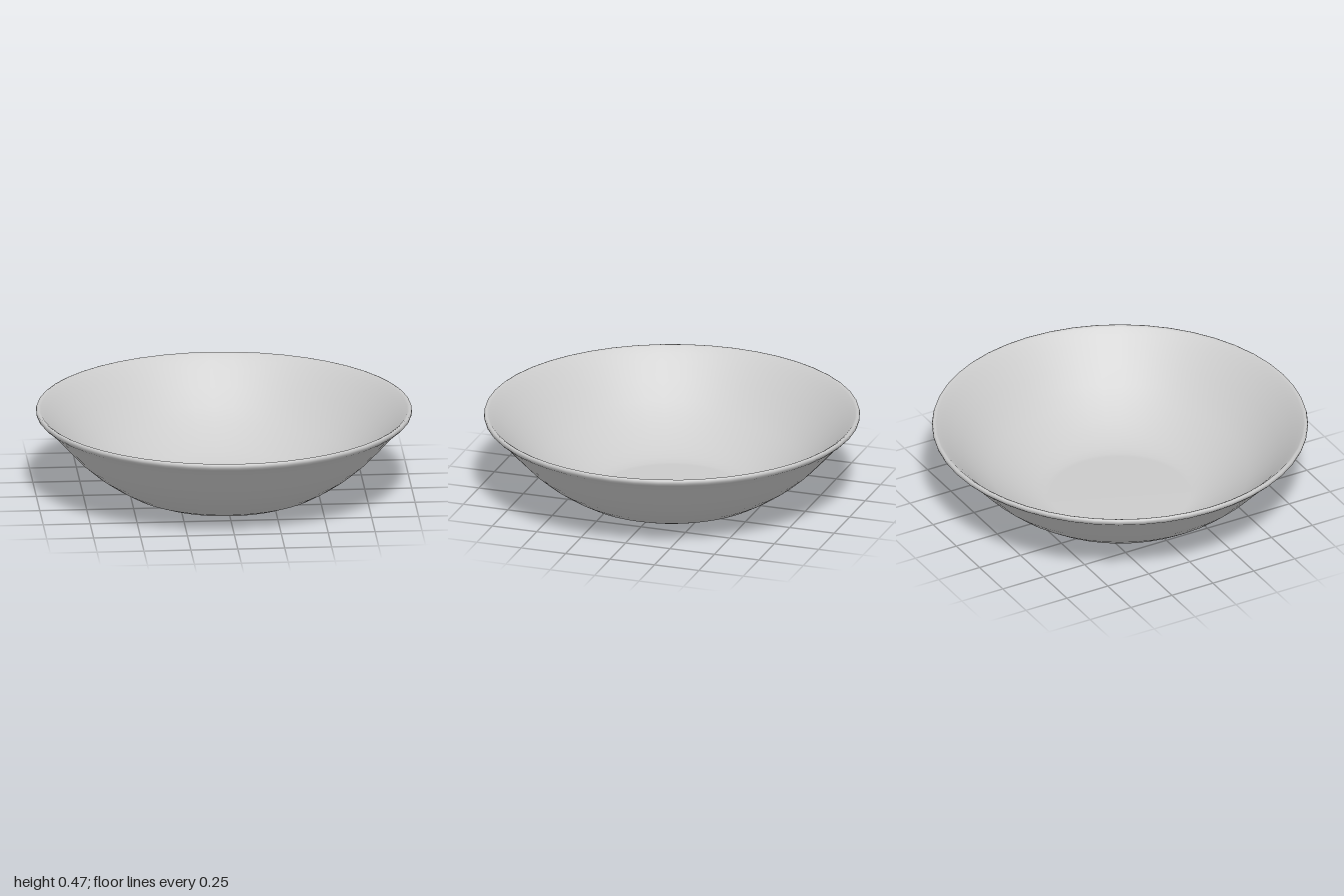
import * as THREE from 'three';

export function createModel() {
  const group = new THREE.Group();
  group.name = 'bowl';
  const material = new THREE.MeshStandardMaterial({ color: 0xcccccc, side: THREE.DoubleSide });

  // Wall profile as [radius, height], from the foot up to below the lip
  const wall = [
    [0.41, 0], [0.46, 0.012], [0.53, 0.04], [0.61, 0.087], [0.7, 0.15],
    [0.78, 0.22], [0.86, 0.305], [0.93, 0.383], [0.965, 0.418],
  ];
  // Rounded lip, from the underside over to the inside
  const lip = [[0.985, 0.432], [0.997, 0.445], [1, 0.457], [0.997, 0.467], [0.988, 0.47], [0.975, 0.463]];
  // Inside face: the wall moved inwards by its thickness
  const thickness = 0.024;
  const inside = wall.map(([r, y], i) => {
    const a = wall[Math.max(i - 1, 0)], b = wall[Math.min(i + 1, wall.length - 1)];
    const dr = b[0] - a[0], dy = b[1] - a[1], len = Math.hypot(dr, dy);
    return [r - (dy / len) * thickness, y + (dr / len) * thickness];
  }).reverse();

  // Extra rings keep the foot and the floor flat
  const profile = [[0, 0], [0.39, 0], ...wall, ...lip, ...inside, [0.38, thickness], [0, thickness]]
    .map(([r, y]) => new THREE.Vector2(r, y));

  const body = new THREE.Mesh(new THREE.LatheGeometry(profile, 48), material);
  body.name = 'bowlBody';
  group.add(body);
  return group;
}
